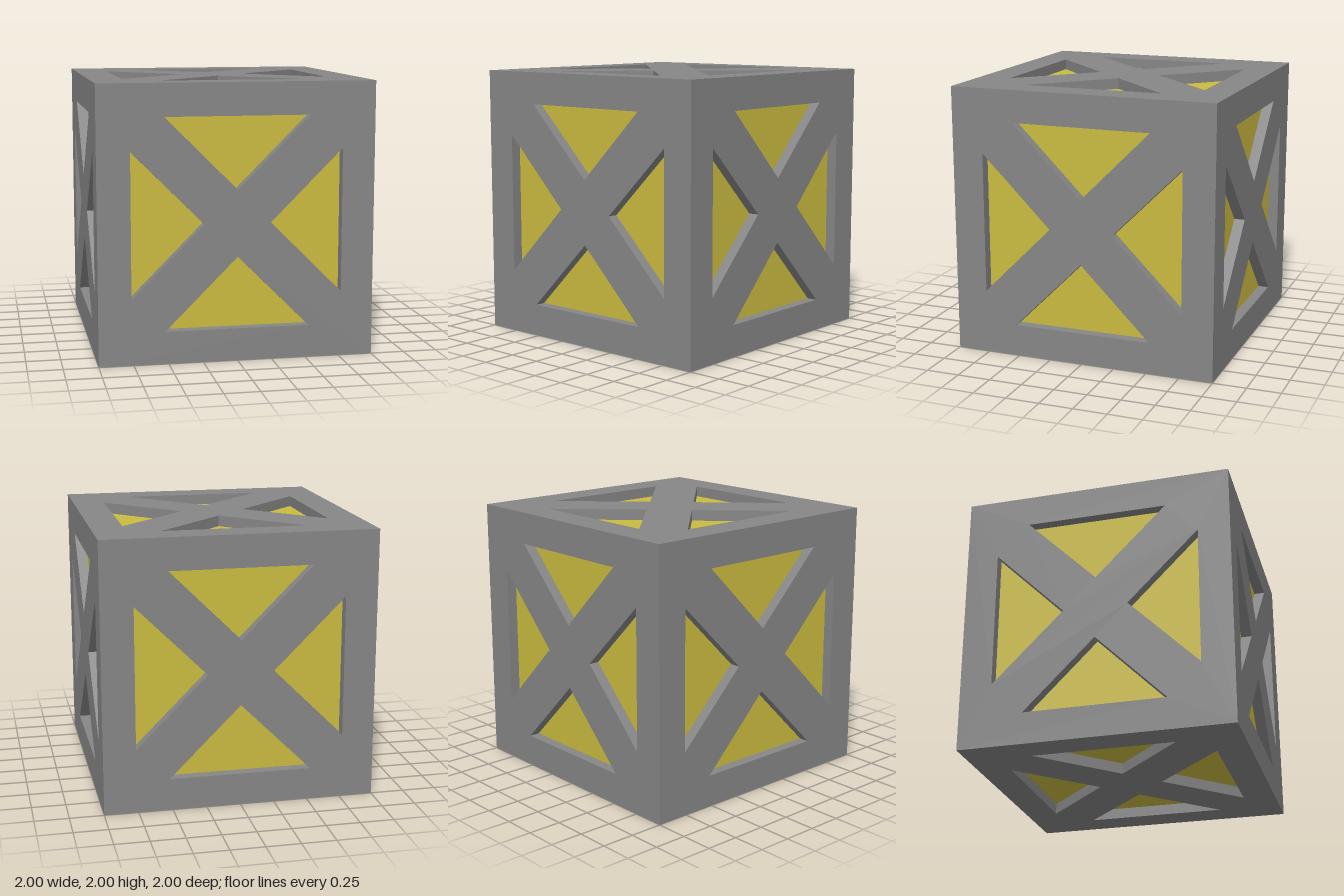
import * as THREE from 'three';

const HALF = 1, DEPTH = 0.08;
const BASE = 0.763, APEX = 0.24, WIDTH = 0.523; // triangular cutout, measured from the face centre

const frameGrey = new THREE.MeshStandardMaterial({ color: 0x868686 });
frameGrey.name = 'frameGrey';
const panelYellow = new THREE.MeshStandardMaterial({ color: 0xcabb40 });
panelYellow.name = 'panelYellow';

// Cross-braced square with four triangular cutouts, mitred to meet its neighbours
function braceGeometry() {
  const shape = new THREE.Shape([[-1, -1], [1, -1], [1, 1], [-1, 1]]
    .map(([x, y]) => new THREE.Vector2(x * HALF, y * HALF)));
  for (let i = 0; i < 4; i++) {
    const corners = [[-WIDTH, BASE], [WIDTH, BASE], [0, APEX]]
      .map(([x, y]) => new THREE.Vector2(x, y).rotateAround(new THREE.Vector2(), i * Math.PI / 2));
    shape.holes.push(new THREE.Path(corners));
  }
  const geometry = new THREE.ExtrudeGeometry(shape, { depth: DEPTH, bevelEnabled: false });
  geometry.translate(0, 0, HALF - DEPTH);

  // Pull the inner rim in so the sides slope at 45 degrees
  const p = geometry.attributes.position;
  for (let i = 0; i < p.count; i++) {
    if (Math.abs(p.getX(i)) > 0.99 && p.getZ(i) < HALF - DEPTH / 2) {
      p.setX(i, p.getX(i) * (HALF - DEPTH));
      p.setY(i, p.getY(i) * (HALF - DEPTH));
    }
  }
  geometry.computeVertexNormals();
  return geometry;
}

export function createModel() {
  const crate = new THREE.Group();
  crate.name = 'crate';

  // Yellow core seen through the cutouts
  const size = 2 * (HALF - DEPTH);
  const core = new THREE.Mesh(new THREE.BoxGeometry(size, size, size), panelYellow);
  core.name = 'innerPanels';
  core.position.y = HALF;
  crate.add(core);

  // One braced frame on each of the six sides
  const geometry = braceGeometry();
  const q = Math.PI / 2;
  const sides = {
    front: [0, 0], left: [0, q], back: [0, 2 * q], right: [0, -q], top: [-q, 0], bottom: [q, 0],
  };
  for (const [name, [rx, ry]] of Object.entries(sides)) {
    const frame = new THREE.Mesh(geometry, frameGrey);
    frame.name = name + 'Frame';
    frame.rotation.set(rx, ry, 0);
    frame.position.y = HALF;
    crate.add(frame);
  }
  return crate;
}
